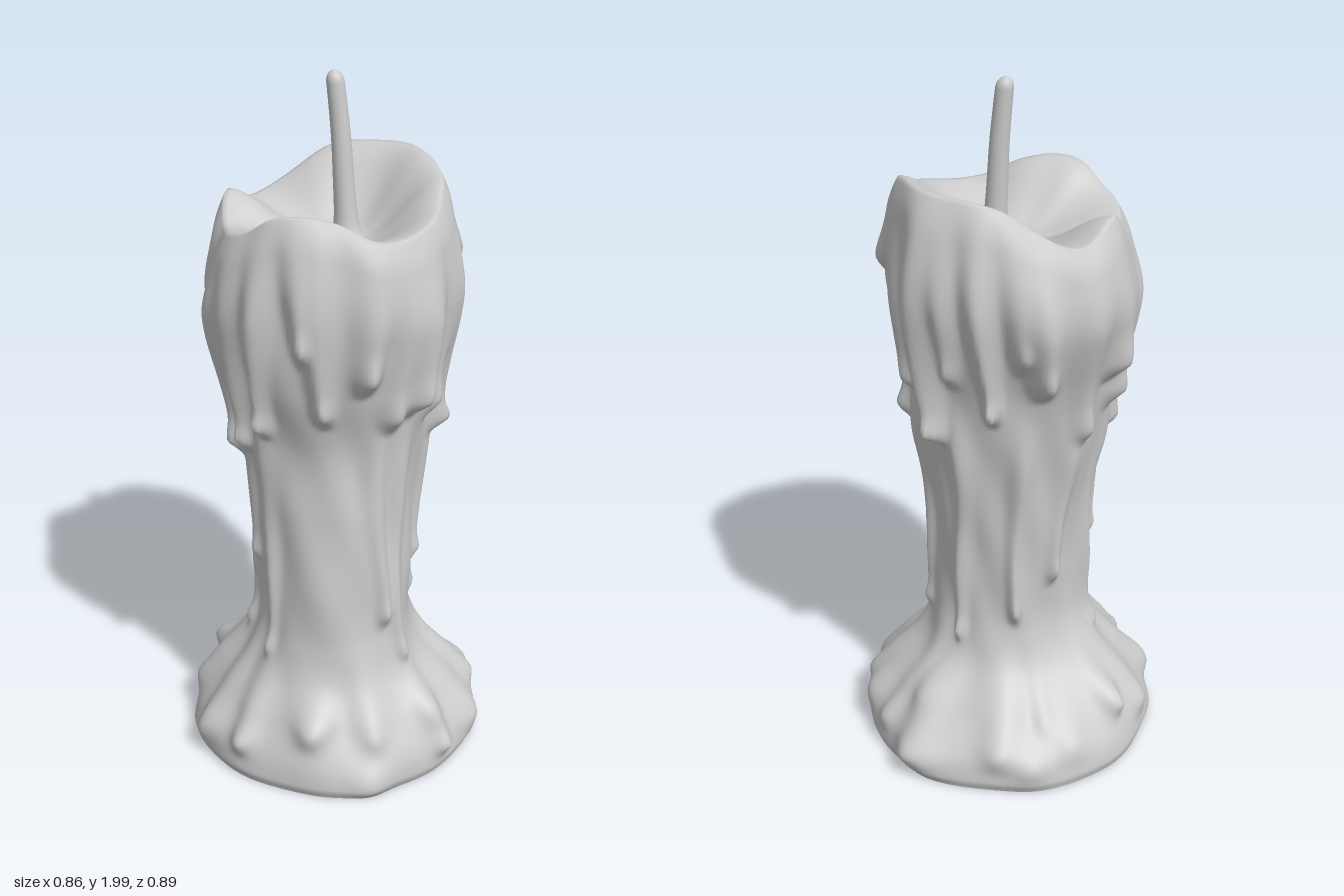
import * as THREE from 'three';

const COLS = 200, WALL = 160, BOWL = 26;
const RAD = Math.PI / 180;
const { smoothstep, lerp } = THREE.MathUtils;

// Wax radius by height towards +x, -x, +z, -z
const profile = new THREE.CubicInterpolant([0, 0.1, 0.2, 0.3, 0.4, 0.6, 0.8, 1.0, 1.2, 1.4, 1.6], [
  0.43, 0.44, 0.44, 0.44,
  0.415, 0.41, 0.425, 0.415,
  0.345, 0.345, 0.37, 0.325,
  0.26, 0.27, 0.31, 0.235,
  0.225, 0.225, 0.29, 0.205,
  0.22, 0.22, 0.275, 0.20,
  0.225, 0.23, 0.255, 0.21,
  0.255, 0.265, 0.24, 0.23,
  0.275, 0.295, 0.285, 0.26,
  0.30, 0.33, 0.31, 0.325,
  0.305, 0.325, 0.305, 0.31,
], 4);

// Rim height round the candle, angle from +x towards +z
const rimHeight = new THREE.CubicInterpolant(
  [-30, 0, 25, 68, 90, 110, 125, 140, 160, 180, 200, 225, 270, 300, 330, 360],
  [1.75, 1.71, 1.66, 1.63, 1.68, 1.70, 1.69, 1.64, 1.61, 1.60, 1.66, 1.61, 1.73, 1.75, 1.75, 1.71], 1);

// Collar drips hanging to uneven heights
const drips = [0.98, 1.07, 1.12, 1.08, 1.22, 1.12, 1.3, 1.06, 0.98, 0.95, 1.1, 1.2, 1.02, 1.2, 1.28, 1.12, 1.22, 1.02, 1.15, 1.38]
  .map((end, i) => ({
    angle: 5 + 18 * i + 4 * Math.sin(4 * i), top: 1.48, end,
    width: 0.043 + 0.012 * Math.sin(7 * i), thick: 0.04 + 0.012 * Math.sin(3 * i + 1),
  }));

// Long thin runs down the column: angle, lower end
for (const [angle, end] of [[4, 0.57], [48, 0.33], [64, 0.47], [140, 0.34], [160, 0.6], [185, 0.33], [224, 0.57], [255, 0.45], [300, 0.36], [347, 0.4]])
  drips.push({ angle, top: 1.05, end, width: 0.036, thick: 0.022 });

// Runs spreading over the foot
for (let i = 0; i < 13; i++)
  drips.push({
    angle: 27.7 * i - 6 + 5 * Math.sin(3 * i), top: 0.32, end: 0.1 + 0.06 * Math.sin(5 * i),
    width: 0.045 + 0.012 * Math.sin(2 * i), thick: 0.022 + 0.008 * Math.sin(4 * i),
  });

// Rounded blobs on the foot: angle, height
const BLOBS = [[-62, 0.08], [-50, 0.23], [-17, 0.13], [47, 0.2], [79, 0.05], [102, 0.2], [153, 0.12], [208, 0.2], [236, 0.14], [253, 0.1]];

const angleGap = (a, b) => ((a - b + 540) % 360 + 360) % 360 - 180;

function waxRadius(deg, y) {
  const a = deg * RAD, c = Math.cos(a), s = Math.sin(a);
  const p = profile.evaluate(y);
  let r = c * c * (c > 0 ? p[0] : p[1]) + s * s * (s > 0 ? p[2] : p[3]);
  r += 0.015 * Math.sin(2 * a) ** 2 * smoothstep(y, 0.9, 1.3);

  let sum = 0;
  for (const { angle, top, end, width, thick } of drips) {
    const sway = 3 * Math.sin(7 * y + angle);
    const across = angleGap(deg, angle + sway) * RAD * 0.3;
    const w = width * lerp(0.65, 1.25, smoothstep(y, end, top));
    const along = smoothstep(y, end - 0.03, end + width) * (1 - smoothstep(y, top - 0.12, top + 0.13));
    const bead = 1 + 0.4 * Math.exp(-(((y - end - width) / width) ** 2));
    sum += (thick * bead * along * Math.exp(-((across / w) ** 2))) ** 2;
  }
  r += Math.sqrt(sum);

  for (const [angle, h] of BLOBS) {
    const across = angleGap(deg, angle) * RAD * 0.4;
    r += 0.026 * Math.exp(-(across * across + (y - h) ** 2) / 0.003);
  }
  // gentle unevenness, and a rounded bottom edge
  r += 0.004 * Math.sin(5 * a + 9 * y) + 0.003 * Math.sin(9 * a - 14 * y);
  return r - 0.012 * (1 - smoothstep(y, 0.01, 0.035));
}

// Skin closed rings of points; rings run upwards, or inwards over a top
function loft(name, rings, cols, point) {
  const pos = [], index = [];
  for (let j = 0; j <= rings; j++)
    for (let i = 0; i < cols; i++) pos.push(...point(j, (i / cols) * 360));
  for (let j = 0; j < rings; j++)
    for (let i = 0; i < cols; i++) {
      const a = j * cols + i, b = j * cols + (i + 1) % cols;
      index.push(a, a + cols, b, b, a + cols, b + cols);
    }
  const geometry = new THREE.BufferGeometry();
  geometry.setAttribute('position', new THREE.Float32BufferAttribute(pos, 3));
  geometry.setIndex(index);
  geometry.computeVertexNormals();
  const mesh = new THREE.Mesh(geometry, new THREE.MeshStandardMaterial({ color: 0xcccccc }));
  mesh.name = name;
  return mesh;
}

const polar = (r, y, deg) => [r * Math.cos(deg * RAD), y, r * Math.sin(deg * RAD)];

function waxPoint(j, deg) {
  const rim = rimHeight.evaluate(deg)[0];
  if (j <= WALL) {
    // outer wall, stretched above the collar to meet the uneven rim
    const h = 0.01 + 1.59 * j / WALL;
    const roll = Math.max(0, (h - 1.52) / 0.08);
    return polar(waxRadius(deg, h) - 0.022 * roll * roll, h + smoothstep(h, 1.2, 1.6) * (rim - 1.6), deg);
  }
  // rounded lip, then the melted hollow
  const s = 1 - (j - WALL) / BOWL;
  return polar((waxRadius(deg, 1.6) - 0.022) * s, lerp(rim, 1.555, smoothstep(1 - s, 0, 0.75)), deg);
}

export function createModel() {
  const group = new THREE.Group();
  group.name = 'candle';

  group.add(loft('waxBody', WALL + BOWL, COLS, waxPoint));
  group.add(loft('underside', 1, COLS, (j, deg) => polar(j * waxRadius(deg, 0.01), 0.01, deg)));

  // Wick: bent, tapering, with a rounded tip and a flared root
  const path = new THREE.CatmullRomCurve3([
    new THREE.Vector3(0.035, 1.54, -0.025),
    new THREE.Vector3(0.026, 1.68, -0.03),
    new THREE.Vector3(0.017, 1.83, -0.038),
    new THREE.Vector3(0.0, 2.0, -0.046),
  ]);
  group.add(loft('wick', 40, 20, (j, deg) => {
    const t = 1 - (1 - j / 40) ** 1.6;
    const p = path.getPoint(t);
    const tip = Math.sqrt(Math.max(0, 1 - Math.max(0, (t - 0.94) / 0.06) ** 2));
    const [x, , z] = polar((lerp(0.032, 0.024, t) + 0.02 * Math.exp(-t * 14)) * tip, 0, deg);
    return [p.x + x, p.y, p.z + z];
  }));
  return group;
}
